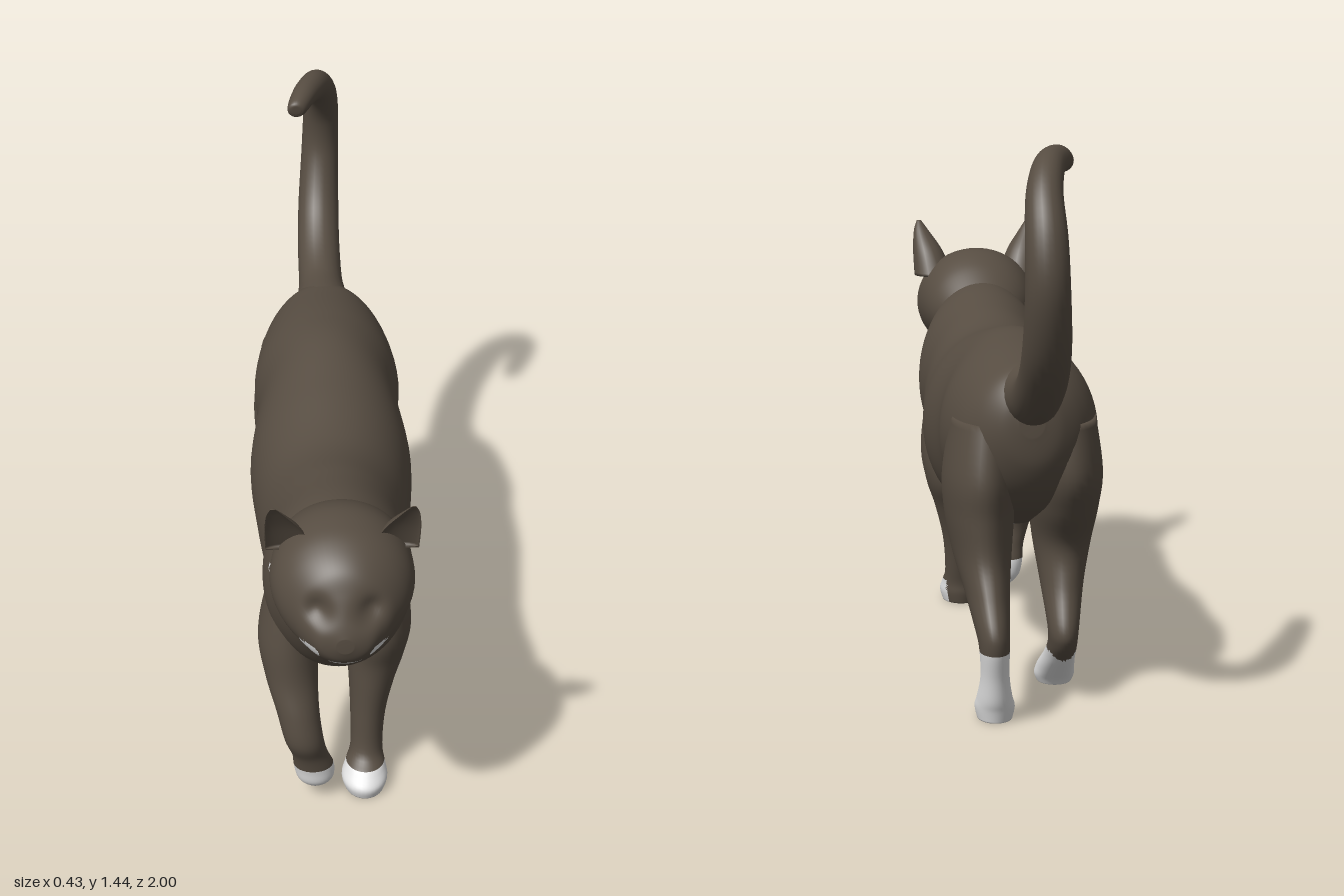
import * as THREE from 'three';

const fur = new THREE.MeshStandardMaterial({ color: 0x574d42 });
fur.name = 'dark fur';
const white = new THREE.MeshStandardMaterial({ color: 0xe2e2e2 });
white.name = 'white fur';

// Uniform Catmull-Rom through rows of numbers
function sample(rows, i, t) {
  const at = k => rows[Math.min(rows.length - 1, Math.max(0, k))];
  const [a, b, c, d] = [at(i - 1), at(i), at(i + 1), at(i + 2)];
  return b.map((_, k) => 0.5 * (2 * b[k] + (c[k] - a[k]) * t
    + (2 * a[k] - 5 * b[k] + 4 * c[k] - d[k]) * t * t
    + (3 * b[k] - a[k] - 3 * c[k] + d[k]) * t * t * t));
}

// Smooth skin over elliptical sections [x, y, z, radiusX, radiusV].
// axis: the direction of radiusV ('y', 'z', or 'path' = square to the path)
// warp moves each point; isWhite picks the colour of each face.
function loft(name, rows, { axis = 'z', sides = 32, steps = 6, front = 1, warp, isWhite } = {}) {
  const rings = [];
  for (let i = 0; i < rows.length - 1; i++)
    for (let s = 0; s < steps; s++) rings.push(sample(rows, i, s / steps));
  rings.push(rows[rows.length - 1]);

  const pts = [];
  rings.forEach((r, i) => {
    let v = new THREE.Vector3(0, axis === 'y' ? 1 : 0, axis === 'z' ? 1 : 0);
    if (axis === 'path') {
      const p = rings[Math.max(0, i - 1)], n = rings[Math.min(rings.length - 1, i + 1)];
      v = new THREE.Vector3(0, n[1] - p[1], n[2] - p[2]).normalize().cross(new THREE.Vector3(1, 0, 0));
    }
    for (let j = 0; j < sides; j++) {
      const a = j / sides * Math.PI * 2, sn = Math.sin(a);
      const p = new THREE.Vector3(r[0] + r[3] * Math.cos(a), r[1], r[2])
        .addScaledVector(v, r[4] * sn * (sn > 0 ? front : 1));
      if (warp) warp(p);
      pts.push(p);
    }
  });
  const last = rings.length - 1, start = pts.length;
  for (const r of [rings[0], rings[last]]) pts.push(new THREE.Vector3(r[0], r[1], r[2]));

  const faces = [[], []];
  const face = (a, b, c) => {
    const m = pts[a].clone().add(pts[b]).add(pts[c]).divideScalar(3);
    faces[isWhite && isWhite(m) ? 1 : 0].push(a, b, c);
  };
  for (let j = 0; j < sides; j++) {
    const k = (j + 1) % sides;
    for (let i = 0; i < last; i++) {
      const a = i * sides + j, b = i * sides + k;
      face(a, b, a + sides);
      face(b, b + sides, a + sides);
    }
    face(k, j, start);
    face(last * sides + j, last * sides + k, start + 1);
  }
  const geo = new THREE.BufferGeometry().setFromPoints(pts);
  geo.setIndex([...faces[0], ...faces[1]]);
  geo.addGroup(0, faces[0].length, 0);
  geo.addGroup(faces[0].length, faces[1].length, 1);
  geo.computeVertexNormals();
  const mesh = new THREE.Mesh(geo, [fur, white]);
  mesh.name = name;
  return mesh;
}

// Row from [z, top, bottom, halfWidth]
const slice = ([z, top, bottom, w]) => [0, (top + bottom) / 2, z, w, (top - bottom) / 2];

export function createModel() {
  const cat = new THREE.Group();
  cat.name = 'cat';

  // Body from rump to throat, with white belly, bib and chest spot
  cat.add(loft('body', [
    [-0.645, 0.79, 0.72, 0.03], [-0.63, 0.84, 0.64, 0.08], [-0.58, 0.88, 0.56, 0.135],
    [-0.5, 0.895, 0.5, 0.175], [-0.35, 0.915, 0.44, 0.2], [-0.2, 0.922, 0.4, 0.193],
    [0, 0.89, 0.365, 0.215], [0.22, 0.855, 0.38, 0.2], [0.4, 0.885, 0.39, 0.185],
    [0.55, 0.915, 0.4, 0.188], [0.64, 0.92, 0.45, 0.165], [0.72, 0.9, 0.53, 0.135],
    [0.76, 0.86, 0.59, 0.11], [0.8, 0.8, 0.67, 0.07],
  ].map(slice), {
    axis: 'y', sides: 64, steps: 8,
    isWhite: p => (p.y < 0.415 && Math.abs(p.z - 0.03) < 0.29 && Math.abs(p.x) < 0.13)
      || (p.z > 0.6 && p.y > 0.5 && p.y < 0.75 && Math.abs(p.x + 0.01) < 0.7 * (p.y - 0.5))
      || (p.z > 0.5 && Math.hypot(p.x + 0.01, p.y - 0.44) < 0.022),
  }));

  // Head with sunken eyes, white chin and whisker pads
  cat.add(loft('head', [
    [0.58, 0.9, 0.74, 0.1], [0.66, 0.965, 0.71, 0.145], [0.74, 0.998, 0.69, 0.166],
    [0.82, 0.995, 0.685, 0.172], [0.88, 0.975, 0.685, 0.155], [0.93, 0.94, 0.69, 0.12],
    [0.96, 0.89, 0.7, 0.09], [0.985, 0.83, 0.725, 0.06], [0.997, 0.795, 0.755, 0.02],
  ].map(slice), {
    axis: 'y', sides: 64, steps: 8,
    warp: p => {
      if (p.z < 0.86) return;
      const dx = Math.abs(p.x) - 0.062, dy = p.y - 0.85;
      p.z -= 0.022 * Math.exp(-(dx * dx + dy * dy) / 0.0009);
    },
    isWhite: p => (p.z > 0.84 && p.y < 0.715 && Math.abs(p.x) < 0.07)
      || (p.z > 0.87 && Math.hypot(Math.abs(p.x) - 0.085, p.y - 0.735) < 0.025),
  }));

  // Ears, hollow at the front
  for (const s of [1, -1]) {
    cat.add(loft(s > 0 ? 'leftEar' : 'rightEar', [
      [0.163 * s, 1.075, 0.867, 0.006, 0.006], [0.157 * s, 1.045, 0.852, 0.022, 0.022],
      [0.14 * s, 0.99, 0.83, 0.043, 0.048], [0.125 * s, 0.92, 0.805, 0.056, 0.06],
    ], { sides: 20, front: -0.3 }));
  }

  // Legs, each from the shoulder or hip down to the paw
  cat.add(loft('leftFrontLeg', [
    [0.11, 0.64, 0.47, 0.06, 0.11], [0.108, 0.48, 0.465, 0.082, 0.125], [0.1, 0.38, 0.452, 0.076, 0.112],
    [0.09, 0.3, 0.47, 0.06, 0.085], [0.08, 0.2, 0.49, 0.046, 0.06], [0.076, 0.1, 0.51, 0.042, 0.048],
    [0.072, 0.06, 0.535, 0.052, 0.062], [0.07, 0.03, 0.55, 0.06, 0.075], [0.07, 0, 0.55, 0.052, 0.068],
  ], { isWhite: p => p.y < 0.065 && p.z > 0.5 }));

  cat.add(loft('rightFrontLeg', [
    [-0.115, 0.62, 0.5, 0.06, 0.11], [-0.125, 0.48, 0.515, 0.078, 0.11], [-0.12, 0.38, 0.555, 0.068, 0.08],
    [-0.105, 0.29, 0.6, 0.055, 0.06], [-0.09, 0.21, 0.62, 0.05, 0.05], [-0.075, 0.15, 0.605, 0.046, 0.042],
    [-0.064, 0.1, 0.592, 0.052, 0.044], [-0.06, 0.06, 0.588, 0.046, 0.04], [-0.06, 0.035, 0.582, 0.022, 0.022],
  ], { isWhite: p => p.y < 0.108 }));

  cat.add(loft('leftHindLeg', [
    [0.1, 0.74, -0.45, 0.08, 0.15], [0.11, 0.6, -0.44, 0.092, 0.185], [0.11, 0.5, -0.43, 0.088, 0.185],
    [0.105, 0.4, -0.44, 0.075, 0.177], [0.1, 0.32, -0.51, 0.058, 0.145], [0.096, 0.25, -0.6, 0.045, 0.1],
    [0.093, 0.2, -0.643, 0.038, 0.062], [0.09, 0.12, -0.63, 0.036, 0.048], [0.088, 0.06, -0.6, 0.044, 0.062],
    [0.086, 0.03, -0.58, 0.05, 0.07], [0.086, 0, -0.58, 0.044, 0.06],
  ], { isWhite: p => p.y < 0.185 }));

  cat.add(loft('rightHindLeg', [
    [-0.1, 0.74, -0.45, 0.08, 0.15], [-0.11, 0.6, -0.42, 0.092, 0.185], [-0.11, 0.5, -0.38, 0.088, 0.17],
    [-0.11, 0.4, -0.345, 0.075, 0.13], [-0.105, 0.3, -0.39, 0.056, 0.095], [-0.1, 0.2, -0.468, 0.04, 0.062],
    [-0.1, 0.15, -0.455, 0.037, 0.065], [-0.1, 0.1, -0.39, 0.04, 0.075], [-0.1, 0.05, -0.315, 0.048, 0.08],
    [-0.1, 0.02, -0.285, 0.052, 0.068], [-0.1, 0, -0.28, 0.045, 0.055],
  ], { isWhite: p => p.y < 0.13 && p.z > -0.47 }));

  // Tail curling up and forward
  cat.add(loft('tail', [
    [0, 0.81, -0.54, 0.085, 0.08], [-0.005, 0.825, -0.66, 0.064, 0.068], [-0.008, 0.885, -0.78, 0.06, 0.06],
    [-0.006, 0.98, -0.88, 0.058, 0.058], [0, 1.12, -0.942, 0.053, 0.056], [0.003, 1.24, -0.936, 0.05, 0.052],
    [0.002, 1.33, -0.885, 0.044, 0.048], [-0.015, 1.385, -0.81, 0.04, 0.043], [-0.045, 1.4, -0.72, 0.036, 0.035],
    [-0.07, 1.39, -0.645, 0.027, 0.026], [-0.073, 1.388, -0.632, 0.012, 0.012],
  ], { axis: 'path', sides: 24 }));

  return cat;
}
